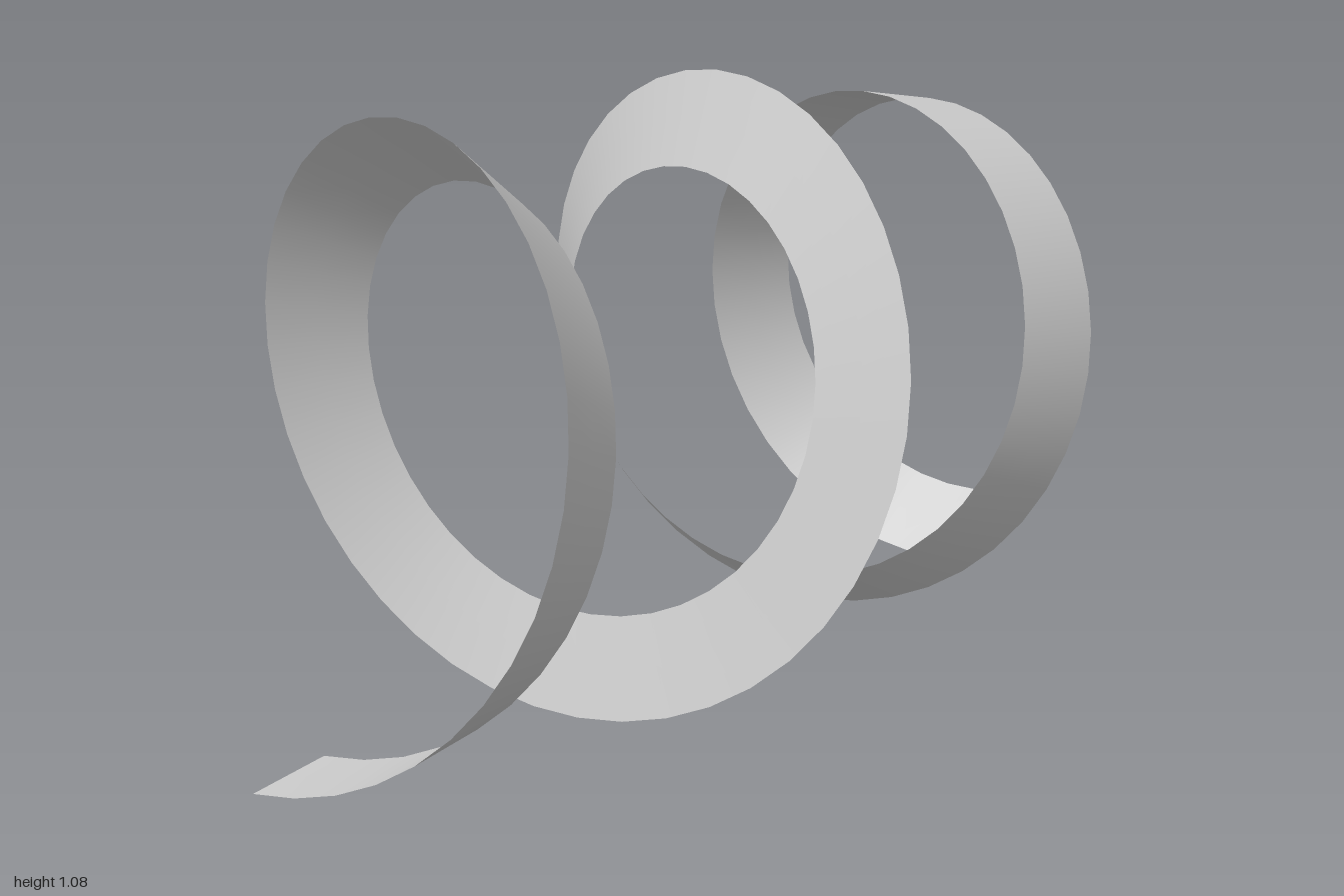
import * as THREE from 'three';

const TURNS = 3, STEPS = 120, COLUMNS = 2;
const RADIUS = 0.457, AXIS_Y = 0.545, AXIS_Z = -0.007;
const START_X = -0.913, END_X = 0.938, BOW = 0.053;
const HALF_WIDTH = 0.089, TWIST = Math.PI * 1.25;

// Point on the ribbon: s runs along the coil (0..1), v across it (-1..1)
function ribbonPoint(s, v) {
  const phi = s * TURNS * Math.PI * 2;
  const x = START_X + (END_X - START_X) * s + 4 * BOW * s * (1 - s);
  const rise = (END_X - START_X) / (TURNS * Math.PI * 2);
  const outward = new THREE.Vector3(0, -Math.cos(phi), Math.sin(phi));
  const around = new THREE.Vector3(0, Math.sin(phi), Math.cos(phi));
  const across = new THREE.Vector3(RADIUS, 0, 0).addScaledVector(around, -rise).normalize();
  const theta = s * TWIST;
  return new THREE.Vector3(x, AXIS_Y, AXIS_Z)
    .addScaledVector(outward, RADIUS - v * HALF_WIDTH * Math.sin(theta))
    .addScaledVector(across, v * HALF_WIDTH * Math.cos(theta));
}

// Strip of cross-sections joined in a loop
function ribbonGeometry() {
  const positions = [], indices = [];
  const row = COLUMNS + 1;
  for (let i = 0; i <= STEPS; i++) {
    for (let j = 0; j <= COLUMNS; j++) {
      positions.push(...ribbonPoint(i / STEPS, (j / COLUMNS) * 2 - 1).toArray());
      if (i < STEPS && j < COLUMNS) {
        const a = i * row + j, b = a + row;
        indices.push(a, a + 1, b, b, a + 1, b + 1);
      }
    }
  }
  const geometry = new THREE.BufferGeometry();
  geometry.setAttribute('position', new THREE.Float32BufferAttribute(positions, 3));
  geometry.setIndex(indices);
  geometry.computeVertexNormals();
  return geometry;
}

export function createModel() {
  const group = new THREE.Group();
  group.name = 'twistedCoil';
  const material = new THREE.MeshStandardMaterial({ color: 0xcccccc, side: THREE.DoubleSide });
  material.name = 'light grey';

  // Flat band wound around the x axis, slowly twisting as it goes
  const ribbon = new THREE.Mesh(ribbonGeometry(), material);
  ribbon.name = 'ribbon';
  group.add(ribbon);
  return group;
}
